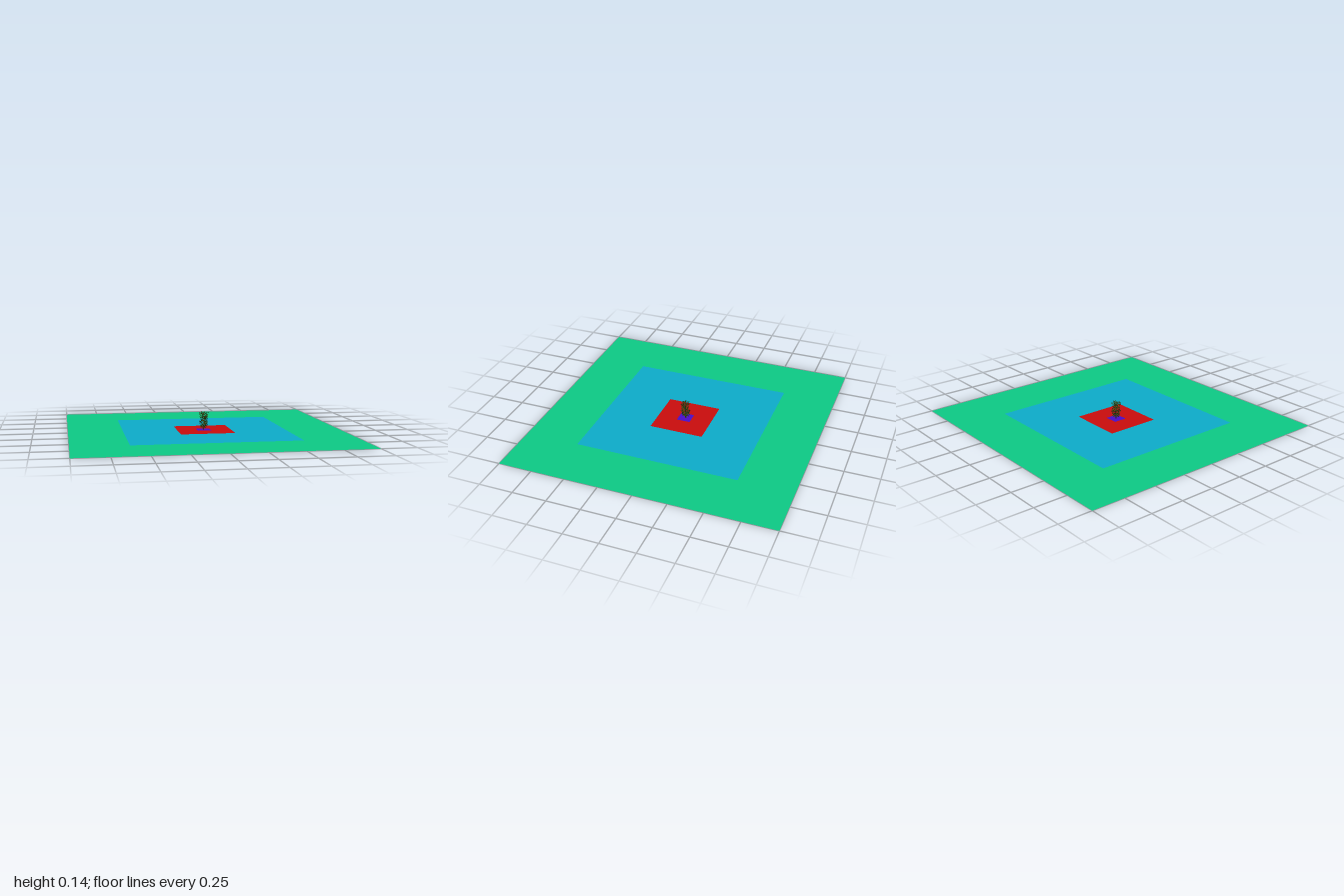
import * as THREE from 'three';
import { mergeGeometries } from 'three/addons/utils/BufferGeometryUtils.js';

const material = (color) => new THREE.MeshStandardMaterial({ color, side: THREE.DoubleSide });

// Flat square, optionally with a square opening for the next zone
function squareZone(outer, inner) {
  const corners = (s) => [[-s, -s], [s, -s], [s, s], [-s, s]].map(([x, y]) => new THREE.Vector2(x, y));
  const shape = new THREE.Shape(corners(outer / 2));
  if (inner) shape.holes.push(new THREE.Path(corners(inner / 2).reverse()));
  return new THREE.ShapeGeometry(shape).rotateX(-Math.PI / 2);
}

// Small seeded generator
function seeded(seed) {
  return () => {
    seed = (seed * 16807) % 2147483647;
    return seed / 2147483647;
  };
}

// Pointed leaf growing along +z, folded slightly along its midrib
function leafGeometry(length, width) {
  const leaf = new THREE.PlaneGeometry(width, length, 2, 2).rotateX(Math.PI / 2);
  const p = leaf.attributes.position;
  for (let i = 0; i < p.count; i++) {
    const t = p.getZ(i) / length + 0.5;
    const x = p.getX(i) * Math.sin(Math.PI * t);
    p.setXYZ(i, x, Math.abs(x) * 0.4 - 0.2 * length * t * t, t * length);
  }
  leaf.computeVertexNormals();
  return leaf;
}

// Scatter of leaves around the stem, filling a lumpy column
function foliage(count, seed) {
  const random = seeded(seed);
  const leaves = [];
  const dummy = new THREE.Object3D();
  dummy.rotation.order = 'YXZ';
  for (let i = 0; i < count; i++) {
    const y = 0.017 + 0.115 * ((i + random()) / count);
    const angle = random() * Math.PI * 2;
    const bulge = 0.027 + 0.004 * Math.cos((y - 0.062) * 110);
    const r = bulge * Math.sqrt(random());
    dummy.position.set(Math.sin(angle) * r, y, Math.cos(angle) * r);
    dummy.rotation.set((random() - 0.5) * 2, angle + (random() - 0.5) * 2, (random() - 0.5) * 1.5);
    dummy.updateMatrix();
    const length = 0.008 + random() * 0.005;
    leaves.push(leafGeometry(length, length * 0.6).applyMatrix4(dummy.matrix));
  }
  return mergeGeometries(leaves);
}

export function createModel() {
  const model = new THREE.Group();
  const add = (name, geometry, color, parent = model) => {
    const mesh = new THREE.Mesh(geometry, material(color));
    mesh.name = name;
    parent.add(mesh);
  };

  // Nested ground zones
  add('outerGround', squareZone(2, 1.2), 0x0dcc87);
  add('middleGround', squareZone(1.2, 0.4), 0x0daecc);
  add('innerGround', squareZone(0.4, 0.1), 0xcc0d0d);
  add('centreGround', squareZone(0.1), 0x4a0dcc);

  // Leafy plant in the middle
  const plant = new THREE.Group();
  plant.name = 'plant';
  model.add(plant);
  add('stem', new THREE.CylinderGeometry(0.002, 0.004, 0.12, 6).translate(0, 0.06, 0), 0x2b2410, plant);
  add('darkLeaves', foliage(260, 11), 0x1c2e0a, plant);
  add('lightLeaves', foliage(260, 77), 0x35480c, plant);

  return model;
}
